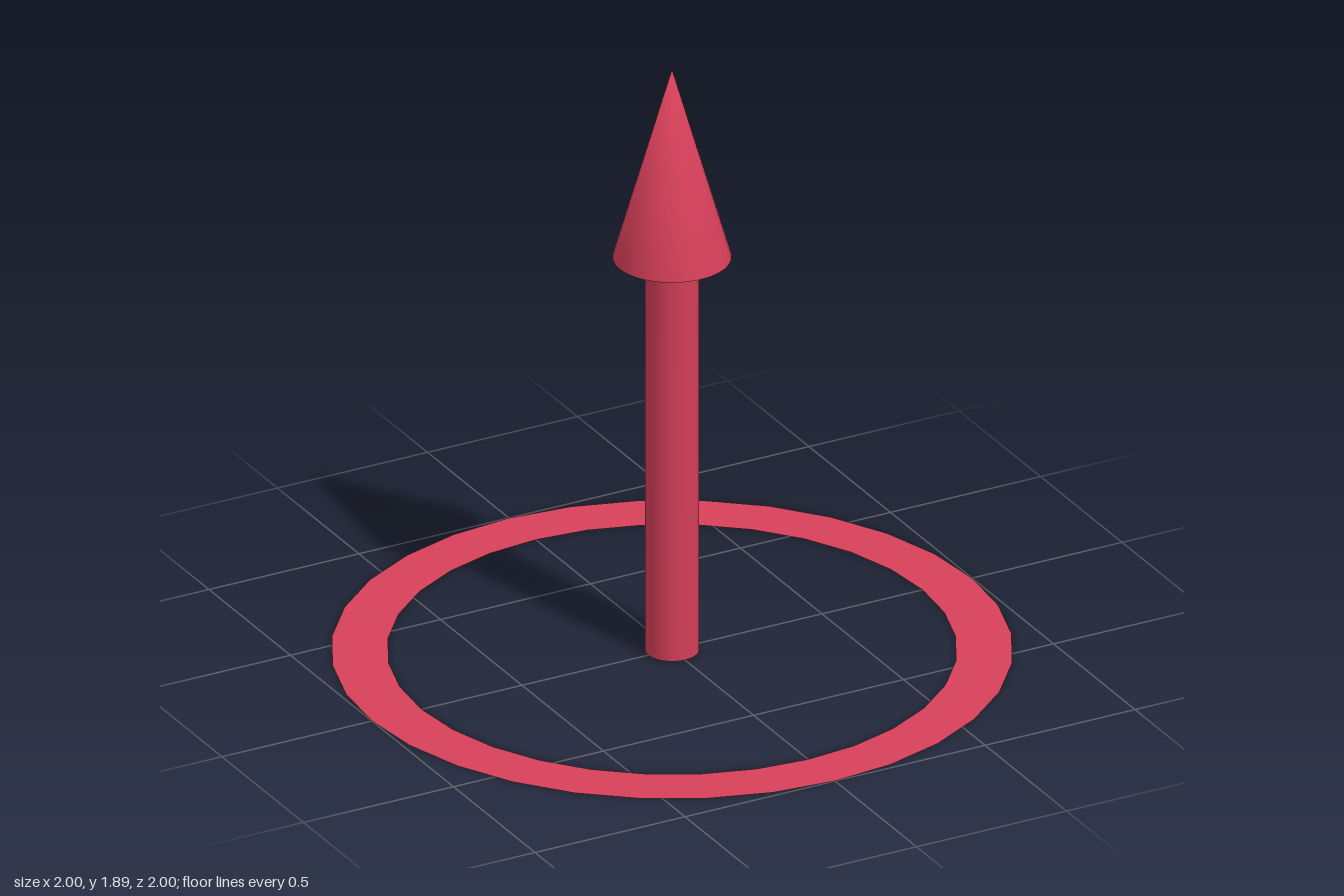
import * as THREE from 'three';

const SEGMENTS = 32;

export function createModel() {
  const group = new THREE.Group();
  group.name = 'upArrowMarker';
  const material = new THREE.MeshStandardMaterial({ color: 0xd8405a, side: THREE.DoubleSide });

  // Arrow: shaft and head turned as one smooth profile, from base centre to tip
  const profile = [[0, 0], [0.08, 0], [0.08, 1.28], [0.175, 1.28], [0, 1.89]]
    .map(([r, y]) => new THREE.Vector2(r, y));
  const arrowGeometry = new THREE.LatheGeometry(profile, SEGMENTS);

  // Round the shading over the tip
  const { position, normal } = arrowGeometry.attributes;
  for (let i = 0; i < position.count; i++) {
    if (position.getY(i) > 1.88) normal.setXYZ(i, 0, 1, 0);
  }
  const arrow = new THREE.Mesh(arrowGeometry, material);
  arrow.name = 'arrow';
  group.add(arrow);

  // Flat ring lying on the ground around the arrow
  const ringGeometry = new THREE.RingGeometry(0.835, 1, SEGMENTS).rotateX(-Math.PI / 2);
  const ring = new THREE.Mesh(ringGeometry, material);
  ring.name = 'groundRing';
  group.add(ring);

  return group;
}
